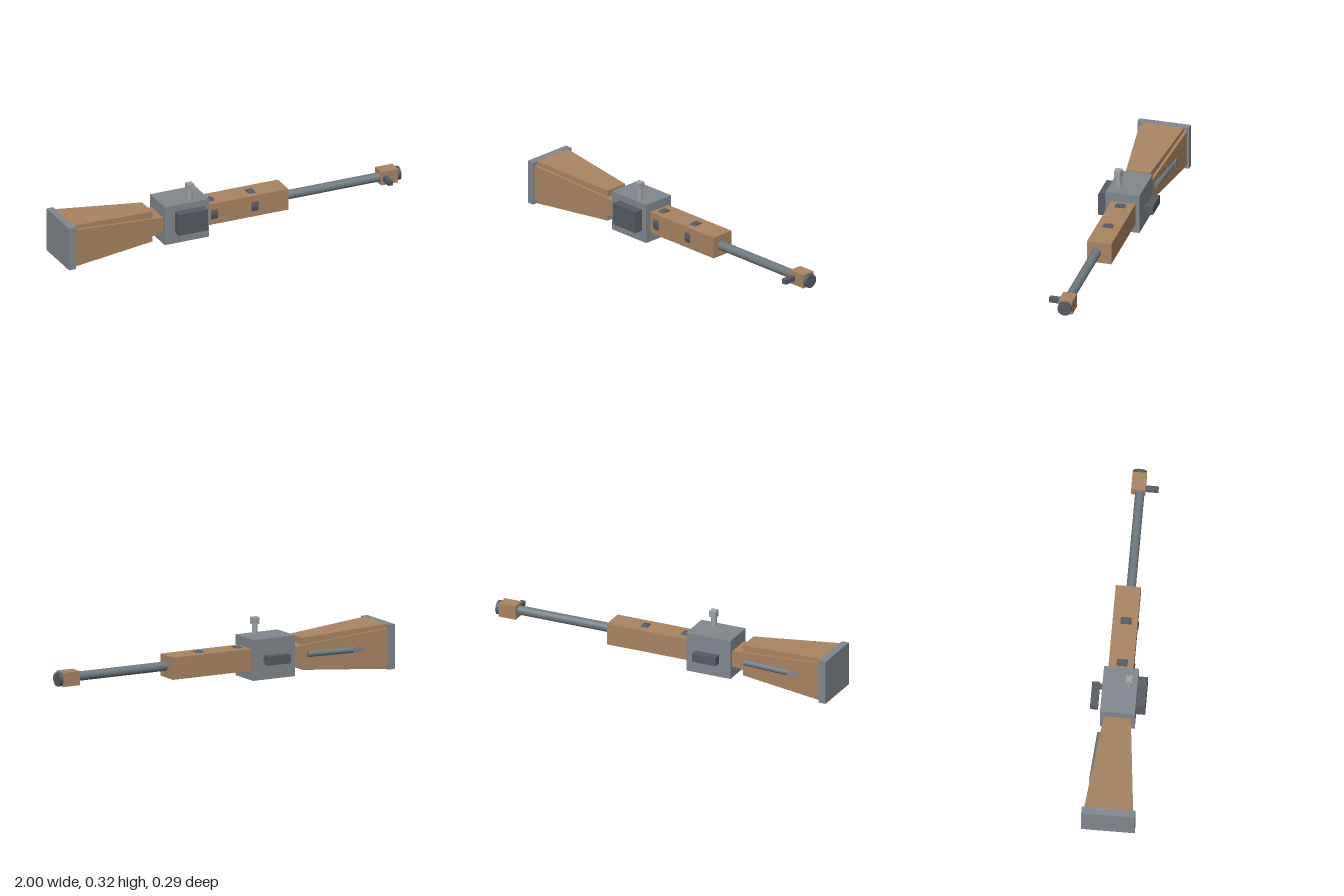
import * as THREE from 'three';

export function createModel() {
  const root = new THREE.Group();
  const mat = (name, color) => {
    const m = new THREE.MeshStandardMaterial({ color });
    m.name = name;
    return m;
  };
  const wood = mat('wood', 0xa98461);
  const steel = mat('steel', 0x80878d);
  const darkSteel = mat('dark steel', 0x565b63);
  const barrelSteel = mat('barrel steel', 0x6f797e);
  const paleSteel = mat('pale steel', 0x9da4a7);

  const add = (name, geometry, material) => {
    const mesh = new THREE.Mesh(geometry, material);
    mesh.name = name;
    root.add(mesh);
    return mesh;
  };

  // Box given by its limits on each axis
  const box = (name, material, [x0, x1], [y0, y1], [z0, z1]) => {
    const g = new THREE.BoxGeometry(x1 - x0, y1 - y0, z1 - z0);
    g.translate((x0 + x1) / 2, (y0 + y1) / 2, (z0 + z1) / 2);
    return add(name, g, material);
  };

  // Box whose section changes from (h0, w0) at x0 to (h1, w1) at x1
  const taper = (name, material, [x0, x1], [h0, h1], [w0, w1], y, z) => {
    const g = new THREE.BoxGeometry(1, 1, 1);
    const p = g.attributes.position;
    for (let i = 0; i < p.count; i++) {
      const front = p.getX(i) > 0;
      p.setXYZ(i, front ? x1 : x0,
        y + p.getY(i) * (front ? h1 : h0),
        z + p.getZ(i) * (front ? w1 : w0));
    }
    g.computeVertexNormals();
    return add(name, g, material);
  };

  // Cylinder between two points
  const rod = (name, material, a, b, radius, sides = 32) => {
    const from = new THREE.Vector3(...a), to = new THREE.Vector3(...b);
    const dir = to.clone().sub(from);
    const mesh = add(name, new THREE.CylinderGeometry(radius, radius, dir.length(), sides), material);
    mesh.position.copy(from).add(to).multiplyScalar(0.5);
    mesh.quaternion.setFromUnitVectors(new THREE.Vector3(0, 1, 0), dir.normalize());
    return mesh;
  };

  // Shoulder stock: two crossed tapers and a butt plate
  box('buttPlate', steel, [-1, -0.96], [0, 0.243], [-0.138, 0.148]);
  taper('stockCore', wood, [-0.96, -0.415], [0.2, 0.087], [0.263, 0.144], 0.122, 0.005);
  taper('stockSpine', wood, [-0.96, -0.475], [0.243, 0.174], [0.231, 0.131], 0.1215, 0.005);

  // Rod let into the back face of the stock, with its flat tail
  rod('stockRod', barrelSteel, [-0.775, 0.122, -0.1], [-0.495, 0.122, -0.079], 0.017);
  const tail = box('stockRodTail', steel, [-0.05, 0.05], [-0.013, 0.013], [-0.005, 0.005]);
  tail.position.set(-0.81, 0.122, -0.1075);
  tail.rotation.y = 0.108;

  // Receiver with a plate in front and a side handle behind
  box('receiver', steel, [-0.415, -0.155], [0.012, 0.233], [-0.088, 0.098]);
  box('sidePlate', darkSteel, [-0.355, -0.185], [0.075, 0.197], [0.098, 0.148]);
  box('handleStem', darkSteel, [-0.245, -0.22], [0.11, 0.136], [-0.106, -0.086]);
  box('handle', darkSteel, [-0.355, -0.215], [0.098, 0.147], [-0.146, -0.104]);

  // Rear sight post
  rod('rearSightStem', paleSteel, [-0.249, 0.23, 0.054], [-0.249, 0.29, 0.054], 0.0155);
  box('rearSightHead', paleSteel, [-0.268, -0.23], [0.288, 0.325], [0.036, 0.073]);

  // Fore-end with two round bands showing through its faces
  box('foreEnd', wood, [-0.155, 0.325], [0.063, 0.183], [-0.067, 0.067]);
  for (const x of [-0.11, 0.128])
    rod('foreEndBand', darkSteel, [x - 0.019, 0.122, 0.005], [x + 0.019, 0.122, 0.005], 0.068);

  // Barrel, muzzle block and front sight
  rod('barrel', barrelSteel, [0.3, 0.124, 0.014], [0.9, 0.124, 0.014], 0.025);
  box('muzzleBlock', wood, [0.88, 0.98], [0.085, 0.162], [-0.033, 0.043]);
  rod('muzzleCap', darkSteel, [0.978, 0.122, 0.005], [1, 0.122, 0.005], 0.038);
  box('frontSight', darkSteel, [0.89, 0.918], [0.108, 0.136], [0.04, 0.112]);

  return root;
}
